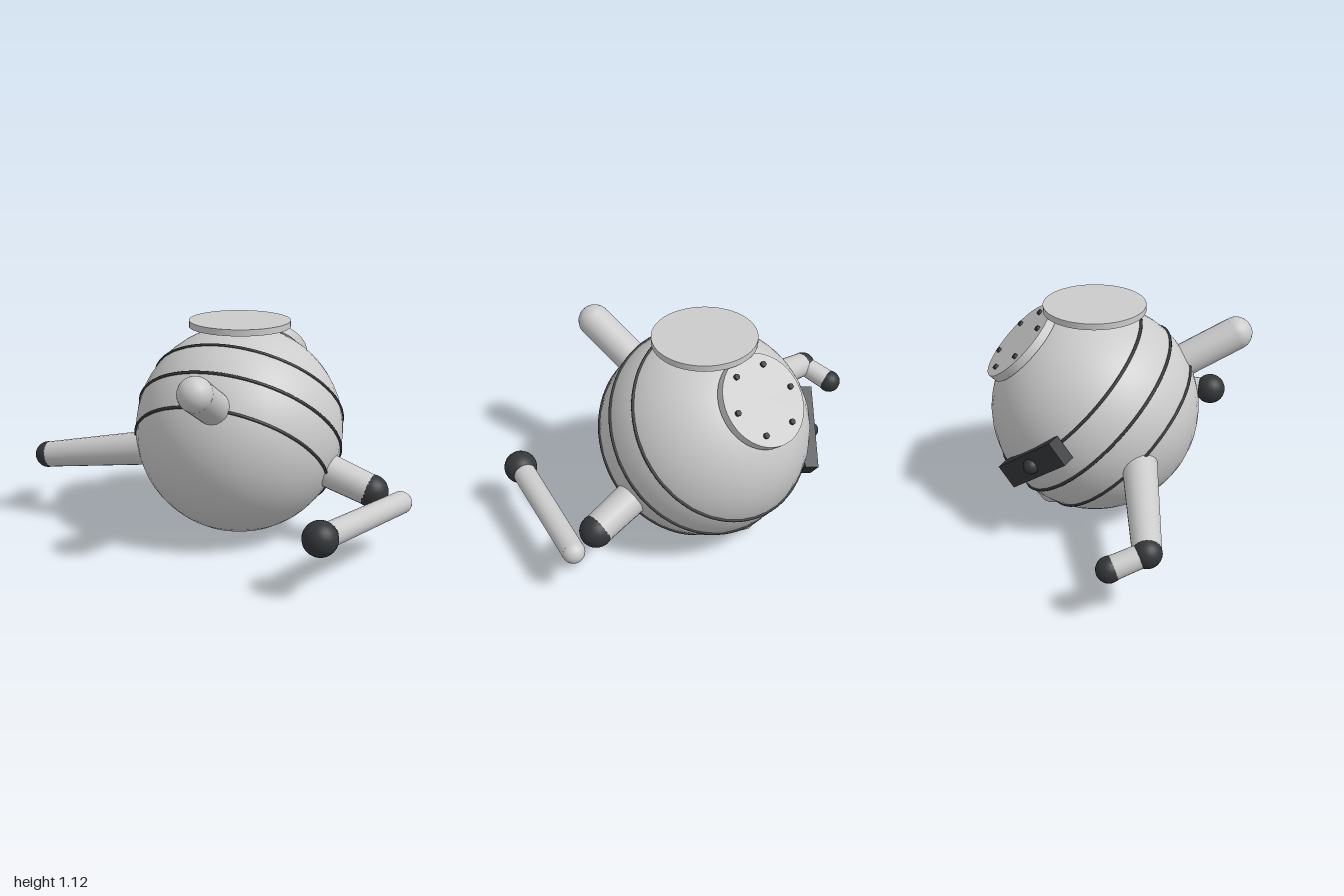
import * as THREE from 'three';

const grey = new THREE.MeshStandardMaterial({ color: 0xcccccc });
const dark = new THREE.MeshStandardMaterial({ color: 0x333639 });
const V = (x, y, z) => new THREE.Vector3(x, y, z);
const UP = V(0, 1, 0);
const CENTRE = V(0.085, 0.55, 0.02);
const RADIUS = 0.535;
const AXIS = V(0.64, 0.705, -0.306).normalize(); // shared by the side hatch and the bands

export function createModel() {
  const model = new THREE.Group();

  const add = (name, geometry, material, position, parent = model) => {
    const mesh = new THREE.Mesh(geometry, material);
    mesh.name = name;
    mesh.position.copy(position);
    parent.add(mesh);
    return mesh;
  };
  const ball = (name, p, r, material) =>
    add(name, new THREE.SphereGeometry(r, 20, 14), material, p);
  // Round rod from a to b, tapering from ra to rb
  const rod = (name, a, b, ra, rb = ra, material = grey) => {
    const dir = b.clone().sub(a);
    const mesh = add(name, new THREE.CylinderGeometry(rb, ra, dir.length(), 20), material,
      a.clone().lerp(b, 0.5));
    mesh.quaternion.setFromUnitVectors(UP, dir.normalize());
    return mesh;
  };
  const along = (dir, d) => CENTRE.clone().addScaledVector(dir, d);

  // Body
  add('body', new THREE.SphereGeometry(RADIUS, 40, 28), grey, CENTRE);

  // Top plate on a short neck
  const plate = (name, y0, y1, r) => add(name, new THREE.CylinderGeometry(r, r, y1 - y0, 48), grey,
    V(CENTRE.x, (y0 + y1) / 2, CENTRE.z));
  plate('topNeck', 1.0, 1.09, 0.1);
  plate('topPlate', 1.088, 1.12, 0.257);

  // Side hatch with a ring of bolts
  const hatch = rod('hatch', along(AXIS, 0.495), along(AXIS, 0.54), 0.23);
  hatch.geometry = new THREE.CylinderGeometry(0.23, 0.23, 0.045, 48);
  const boltStart = V(-0.065, -0.01, -0.163).projectOnPlane(AXIS).setLength(0.176);
  for (let i = 0; i < 6; i++) {
    const p = along(AXIS, 0.535).add(boltStart.clone().applyAxisAngle(AXIS, i * Math.PI / 3));
    rod('hatchBolt', p, p.clone().addScaledVector(AXIS, 0.018), 0.014, 0.014, dark);
  }

  // Three parallel bands round the body
  for (const d of [-0.178, 0, 0.178]) {
    const ring = add('band', new THREE.TorusGeometry(Math.sqrt(RADIUS ** 2 - d * d), 0.008, 8, 80),
      dark, along(AXIS, d));
    ring.quaternion.setFromUnitVectors(V(0, 0, 1), AXIS);
  }

  // Rounded side stub
  const stubEnd = V(-0.54, 0.915, 0.39);
  rod('sideStub', CENTRE.clone().lerp(stubEnd, 0.55), stubEnd, 0.085);
  ball('sideStubTip', stubEnd, 0.085, grey);

  // Front upper arm with its elbow
  const elbow = V(0.36, 0.315, 0.69);
  rod('upperArm', CENTRE.clone().lerp(elbow, 0.55), elbow, 0.088, 0.08);
  ball('elbow', elbow, 0.083, dark);

  // Detached forearm in front
  const wrist = V(-0.26, 0.3, 0.914), forearmTip = V(0.42, 0.275, 0.825);
  rod('forearm', wrist, forearmTip, 0.06, 0.057);
  ball('forearmTip', forearmTip, 0.057, grey);
  ball('forearmBall', wrist, 0.085, dark);

  // Rear leg with a short foot
  const knee = V(-0.53, 0.34, -0.83), foot = V(-0.39, 0.285, -0.938);
  rod('rearLeg', V(-0.26, 0.46, -0.24), knee, 0.09, 0.068);
  ball('knee', knee, 0.07, dark);
  rod('rearFoot', knee, foot, 0.055, 0.058);
  ball('rearFootTip', foot, 0.062, dark);

  // Teardrop bump under the body
  const bump = V(0.275, 0.085, -0.11);
  ball('bottomBump', bump, 0.083, grey);
  rod('bottomBumpTail', bump.clone().lerp(V(0.335, 0.13, -0.2), 0.25), V(0.335, 0.13, -0.2), 0.08, 0.02);

  // Rear block lying along a band, with a round knob
  const out = V(0.18, -0.15, -0.97).normalize();
  const length = AXIS.clone().cross(out).normalize();
  const block = add('rearBlock', new THREE.BoxGeometry(0.43, 0.13, 0.07), dark, along(out, 0.535));
  block.quaternion.setFromRotationMatrix(
    new THREE.Matrix4().makeBasis(length, out.clone().cross(length), out));
  ball('rearKnob', along(out, 0.568), 0.04, dark);

  return model;
}
